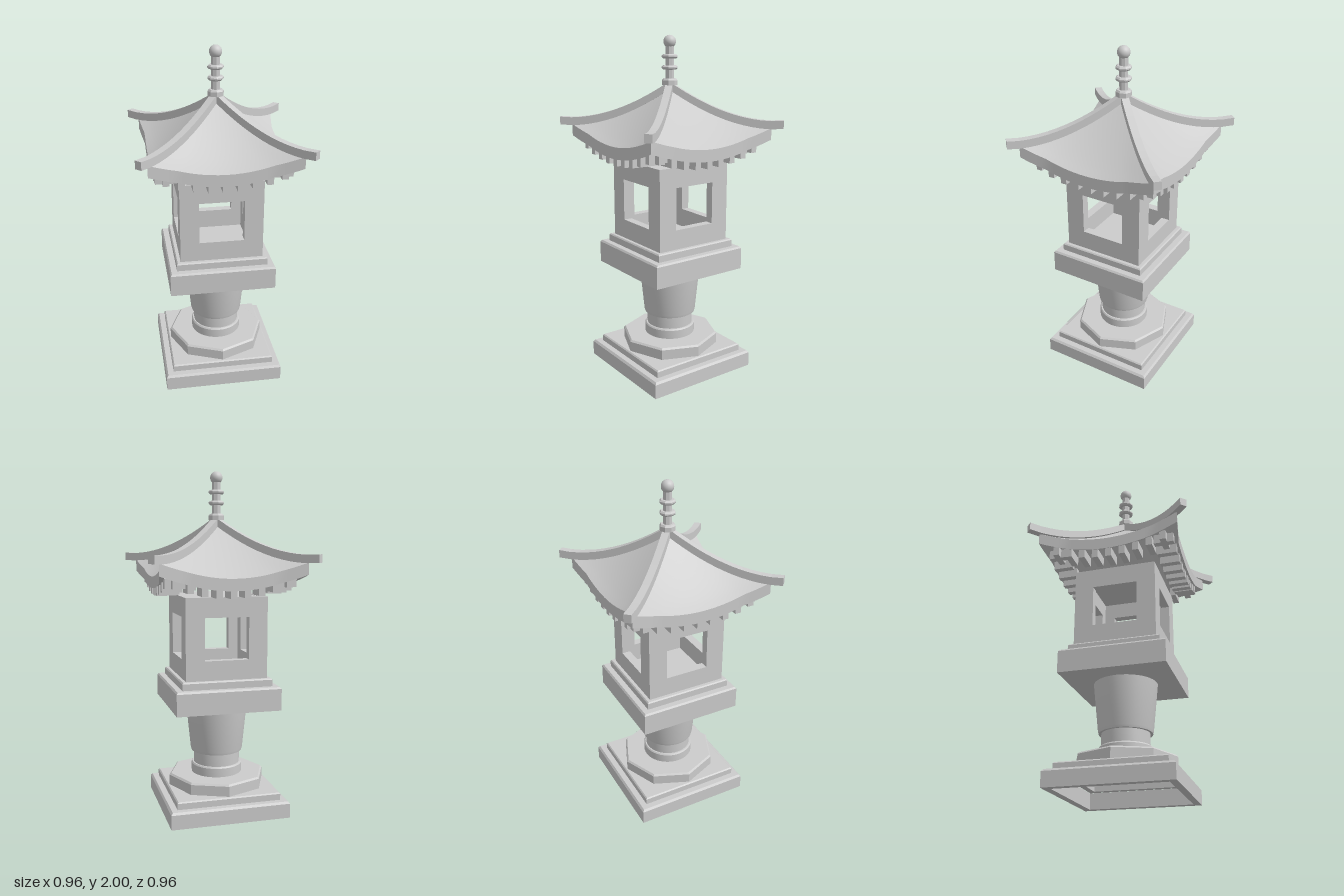
import * as THREE from 'three';
import { toCreasedNormals } from 'three/addons/utils/BufferGeometryUtils.js';

const smooth = new THREE.MeshStandardMaterial({ color: 0xcccccc });
const flat = new THREE.MeshStandardMaterial({ color: 0xcccccc, flatShading: true });
const EAVE = 0.39, FLARE = 0.025, THICK = 0.067;

function add(parent, name, geometry, material = flat) {
  const mesh = new THREE.Mesh(geometry, material);
  mesh.name = name;
  parent.add(mesh);
  return mesh;
}

// Profile of [radius, y] pairs, bottom to top, turned around the y axis
function turned(profile, sides, scale = 1) {
  return new THREE.LatheGeometry(profile.map(([r, y]) => new THREE.Vector2(r * scale, y)), sides);
}

// Square tier from a profile of [half width, y] pairs
function squareTier(profile) {
  return turned(profile, 4, Math.SQRT2).rotateY(Math.PI / 4);
}

// Height of the hip line, v = 0 at the apex and 1 at the eave corner
const hipY = (v) => 1.485 + 0.215 * Math.pow(Math.max(0, 1 - v), 1.7);

// Point on the top of the front roof slope, u = -1..1 across
function roofPoint(u, v) {
  const f = Math.max(0, Math.abs(u) * 3 - 2) * FLARE * Math.pow(v, 4);
  return [EAVE * v * u + Math.sign(u) * f,
    hipY(v) - 0.085 * v * v * (1 - u * u), EAVE * v + f];
}

// One slope: underside, fascia and curved top as a swept section
function roofSlope() {
  const rows = 12, cols = 18, pos = [], index = [];
  for (let i = 0; i <= cols; i++) {
    const u = -1 + 2 * i / cols;
    for (let j = 0; j <= rows; j++) {
      const [x, y, z] = roofPoint(u, j / rows);
      pos.push(x, y - THICK, z);
    }
    for (let j = rows; j >= 0; j--) pos.push(...roofPoint(u, j / rows));
  }
  const m = 2 * rows + 2;
  for (let i = 0; i < cols; i++) {
    for (let j = 0; j < m - 1; j++) {
      const a = i * m + j, b = a + m;
      index.push(a, b, b + 1, a, b + 1, a + 1);
    }
  }
  const g = new THREE.BufferGeometry();
  g.setAttribute('position', new THREE.Float32BufferAttribute(pos, 3));
  g.setIndex(index);
  return toCreasedNormals(g, 0.6);
}

// Hip ridge: side outline along the diagonal, extruded to its width
function hipRidge() {
  const n = 12, width = 0.042, line = [];
  for (let i = 0; i <= n; i++) {
    const v = i / n;
    line.push([Math.SQRT2 * (EAVE * v + FLARE * Math.pow(v, 4)), hipY(v)]);
  }
  line.push([0.655, 1.488]);
  const top = line.map(([r, y]) => [r, y + 0.042]).reverse();
  const bottom = line.map(([r, y]) => [r, y - 0.004]);
  const shape = new THREE.Shape([...bottom, ...top].map(([r, y]) => new THREE.Vector2(r, y)));
  return new THREE.ExtrudeGeometry(shape, { depth: width, bevelEnabled: false })
    .translate(0, 0, -width / 2).rotateY(Math.PI / 4);
}

// Wall with a square window; each wall stops short of the next one's thickness
function windowWall() {
  const h = 0.24, t = 0.05, y0 = 0.815, y1 = 1.29;
  const rect = (P, x0, x1, a, b) => new P([[x0, a], [x1, a], [x1, b], [x0, b]]
    .map(([x, y]) => new THREE.Vector2(x, y)));
  const shape = rect(THREE.Shape, -h, h - t, y0, y1);
  shape.holes.push(rect(THREE.Path, -0.13, 0.13, 0.93, 1.175));
  return new THREE.ExtrudeGeometry(shape, { depth: t, bevelEnabled: false }).translate(0, 0, h - t);
}

export function createModel() {
  const model = new THREE.Group();
  model.name = 'stoneLantern';

  // Hollow stepped base
  add(model, 'baseSlab', squareTier([[0.31, 0.095], [0.31, 0], [0.352, 0], [0.352, 0.085],
    [0.342, 0.097], [0.26, 0.097]]));
  add(model, 'baseStep', squareTier([[0.27, 0.14], [0.27, 0.095], [0.307, 0.095], [0.307, 0.133],
    [0.3, 0.14], [0.2, 0.14]]));
  add(model, 'octagonalStep', turned([[0, 0.138], [0.293, 0.138], [0.293, 0.2], [0.283, 0.21], [0, 0.21]], 8));

  // Round pedestal
  const column = turned([[0.152, 0.205], [0.152, 0.262], [0.146, 0.27], [0.138, 0.27], [0.138, 0.345],
    [0.153, 0.345], [0.157, 0.36], [0.185, 0.64]], 40);
  add(model, 'pedestal', toCreasedNormals(column, 0.5), smooth);

  // Platform under the light chamber
  add(model, 'platform', squareTier([[0, 0.635], [0.307, 0.635], [0.307, 0.762], [0.299, 0.772], [0, 0.772]]));
  add(model, 'platformStep', squareTier([[0.265, 0.77], [0.265, 0.81], [0.259, 0.817], [0, 0.817]]));

  // Light chamber
  const chamber = new THREE.Group();
  chamber.name = 'lightChamber';
  model.add(chamber);
  const wall = windowWall();
  for (let i = 0; i < 4; i++) add(chamber, 'windowWall', wall).rotation.y = i * Math.PI / 2;
  add(chamber, 'ceiling', new THREE.BoxGeometry(0.39, 0.02, 0.39).translate(0, 1.279, 0));

  // Roof: four slopes with rafters and hip ridges
  const roof = new THREE.Group();
  roof.name = 'roof';
  model.add(roof);
  const slope = roofSlope(), ridge = hipRidge();
  for (let i = 0; i < 4; i++) {
    const side = new THREE.Group();
    side.name = 'roofSide';
    side.rotation.y = i * Math.PI / 2;
    roof.add(side);
    add(side, 'slope', slope, smooth);
    add(side, 'hipRidge', ridge);
    for (let k = -4; k <= 4; k++) {
      const x = k * 0.08;
      const y = 1.29 + 0.085 * (x / EAVE) ** 2;
      add(side, 'rafter', new THREE.BoxGeometry(0.036, 0.055, 0.115)).position.set(x, y + 0.0275, 0.317);
    }
  }

  // Finial: collar, ringed shaft and ball
  const finial = new THREE.Group();
  finial.name = 'finial';
  model.add(finial);
  add(finial, 'collar', turned([[0, 1.722], [0.046, 1.722], [0.046, 1.748], [0.038, 1.758], [0, 1.758]], 8));
  add(finial, 'shaft', new THREE.CylinderGeometry(0.025, 0.025, 0.2, 8).translate(0, 1.85, 0));
  for (const y of [1.82, 1.882]) {
    add(finial, 'ring', turned([[0.02, y - 0.012], [0.038, y - 0.012], [0.046, y - 0.004],
      [0.046, y + 0.004], [0.038, y + 0.012], [0.02, y + 0.012]], 8));
  }
  add(finial, 'ball', new THREE.SphereGeometry(0.036, 20, 14).translate(0, 1.964, 0), smooth);

  return model;
}
